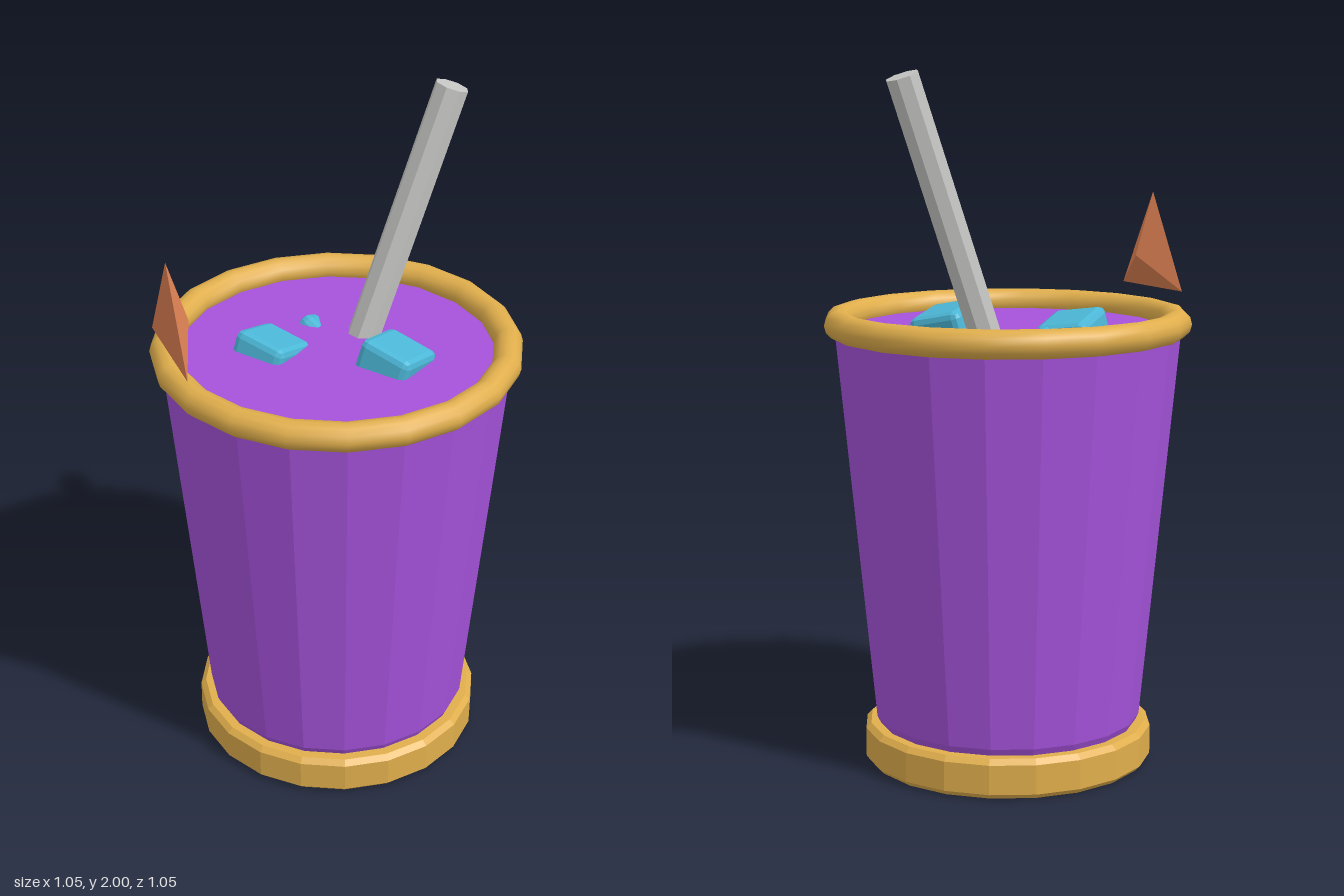
import * as THREE from 'three';
import { RoundedBoxGeometry } from 'three/addons/geometries/RoundedBoxGeometry.js';

const SIDES = 20;
const LIQUID_Y = 1.27;

function material(name, color, flatShading = true) {
  const m = new THREE.MeshStandardMaterial({ color, flatShading });
  m.name = name;
  return m;
}

export function createModel() {
  const group = new THREE.Group();
  const purple = material('purple', 0xa653dc);
  const gold = material('gold', 0xe0ae4c, false);
  const grey = material('grey', 0xc6c6c4);
  const iceBlue = material('iceBlue', 0x4cb8d8);
  const orange = material('orange', 0xdc8052);

  function add(name, geometry, mat) {
    const mesh = new THREE.Mesh(geometry, mat);
    mesh.name = name;
    group.add(mesh);
    return mesh;
  }

  // Faceted solid of revolution from [radius, height] pairs
  function turned(profile) {
    const points = profile.map(([r, y]) => new THREE.Vector2(r, y));
    const geometry = new THREE.LatheGeometry(points, SIDES).toNonIndexed();
    geometry.computeVertexNormals();
    return geometry;
  }

  // Base disc with bevelled edges
  add('base', turned([[0, 0], [0.405, 0], [0.42, 0.015], [0.42, 0.1], [0.405, 0.115], [0, 0.115]]), gold);

  // Tapered cup, closed at the top by the drink
  add('cup', turned([[0, 0.11], [0.375, 0.11], [0.387, 0.135], [0.497, LIQUID_Y]]), purple);
  const drink = add('drink', new THREE.CircleGeometry(0.497, SIDES), purple);
  drink.rotation.x = -Math.PI / 2;
  drink.position.y = LIQUID_Y;

  // Rounded rim
  const rim = add('rim', new THREE.TorusGeometry(0.486, 0.041, 12, SIDES), gold);
  rim.rotation.x = -Math.PI / 2;
  rim.position.y = 1.285;

  // Straw, placed by the centre of its top end
  const straw = add('straw', new THREE.CylinderGeometry(0.048, 0.048, 0.85, 8).translate(0, -0.425, 0), grey);
  straw.position.set(0.368, 1.984, -0.077);
  straw.rotation.z = -0.338;

  // Ice cubes, placed by the centre of their top face: x, y, z, tilt x, turn y, tilt z
  const size = 0.165;
  const cubes = [
    [0.145, 1.32, 0.118, 0.2, 0.57, -0.2],
    [-0.15, 1.3, -0.09, 0.14, 0.56, -0.26],
    [0.065, 1.235, -0.17, 0.45, 0.5, -0.45],
  ];
  for (const [x, y, z, rx, ry, rz] of cubes) {
    const geometry = new RoundedBoxGeometry(size, size, size, 1, 0.02).translate(0, -size / 2, 0);
    const cube = add('iceCube', geometry, iceBlue);
    cube.position.set(x, y, z);
    cube.rotation.set(rx, ry, rz, 'YXZ');
  }

  // Four-faced fruit wedge above the rim
  const top = [-0.49, 1.64, 0];
  const front = [-0.49, 1.36, 0.16];
  const back = [-0.49, 1.36, -0.16];
  const inner = [-0.432, 1.455, 0];
  const faces = [top, front, inner, top, inner, back, front, back, inner, top, back, front];
  const wedge = new THREE.BufferGeometry();
  wedge.setAttribute('position', new THREE.Float32BufferAttribute(faces.flat(), 3));
  wedge.computeVertexNormals();
  add('fruitWedge', wedge, orange);

  return group;
}
